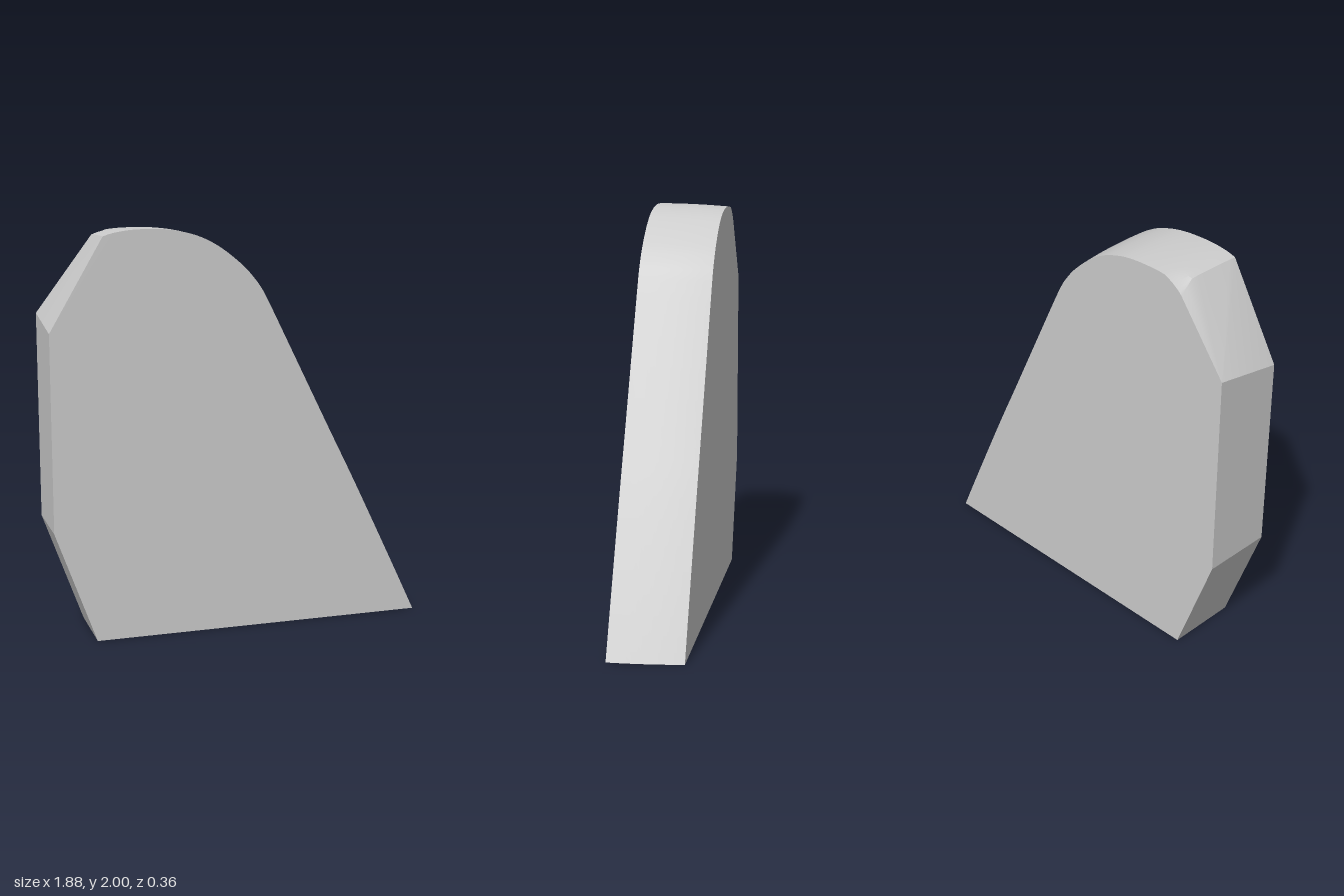
import * as THREE from 'three';
import { toCreasedNormals } from 'three/addons/utils/BufferGeometryUtils.js';

const HALF = 0.18, ROWS = 9;

// Rounded crown running down into the long, slightly bowed slope
const crown = new THREE.SplineCurve([
  [-0.68, 1.97], [-0.63, 1.985], [-0.55, 1.997], [-0.46, 2.0], [-0.38, 1.997], [-0.3, 1.985],
  [-0.2, 1.955], [-0.1, 1.9], [0, 1.82], [0.06, 1.755], [0.1, 1.7], [0.14, 1.625],
  [0.2, 1.505], [0.45, 1.0], [0.6, 0.7], [0.8, 0.285], [0.935, 0],
].map(([x, y]) => new THREE.Vector2(x, y))).getPoints(64);

// Outline at depth t (0 = front, 1 = back): the rim draws in towards the back
function outline(t) {
  const z = HALF - 2 * HALF * t;
  const corner = Math.max(0, (t - 0.77) / 0.23);
  const points = crown.map((p, j) => {
    const near = Math.max(0, 1 - j / 6);
    const side = THREE.MathUtils.clamp((p.x + 0.4) / 0.5, 0, 1);
    return new THREE.Vector3(
      p.x - 0.03 * t * t * side + near * (0.005 * t - 0.015 * corner),
      p.y - 0.0075 * t * t * p.y - near * 0.045 * corner, z);
  });
  points.push(
    new THREE.Vector3(-0.741, 0, z),
    new THREE.Vector3(-0.942, 0.56, z),
    new THREE.Vector3(-0.942, 1.525 + 0.055 * t, z));
  return points;
}

function finGeometry() {
  const rows = Array.from({ length: ROWS + 1 }, (_, i) => outline(i / ROWS));
  const front = rows[0], back = rows[ROWS], last = front.length - 1;
  const positions = [];
  const tri = (...corners) => corners.forEach((p) => positions.push(p.x, p.y, p.z));

  // Rim: crown, slope, base and straight left edges
  for (let i = 0; i < ROWS; i++) {
    for (let j = 0; j < last; j++) {
      const a = rows[i][j], b = rows[i][j + 1], c = rows[i + 1][j + 1], d = rows[i + 1][j];
      tri(a, b, c);
      tri(a, c, d);
    }
  }

  // Twisted chamfer, fanned from the rear corner
  tri(front[last], front[0], back[last]);
  for (let i = 0; i < ROWS; i++) tri(rows[i][0], rows[i + 1][0], back[last]);

  // Flat front and back faces
  for (const [loop, facing] of [[front, 1], [back, -1]]) {
    const flat = loop.map((p) => new THREE.Vector2(p.x, p.y));
    for (const [a, b, c] of THREE.ShapeUtils.triangulateShape(flat, [])) {
      const area = THREE.ShapeUtils.area([flat[a], flat[b], flat[c]]);
      if (area * facing > 0) tri(loop[a], loop[b], loop[c]);
      else tri(loop[a], loop[c], loop[b]);
    }
  }

  const geometry = new THREE.BufferGeometry();
  geometry.setAttribute('position', new THREE.Float32BufferAttribute(positions, 3));
  return toCreasedNormals(geometry, 0.25);
}

export function createModel() {
  const group = new THREE.Group();
  group.name = 'roundedSlab';
  const slab = new THREE.Mesh(finGeometry(), new THREE.MeshStandardMaterial({ color: 0xcccccc }));
  slab.name = 'slab';
  group.add(slab);
  return group;
}
